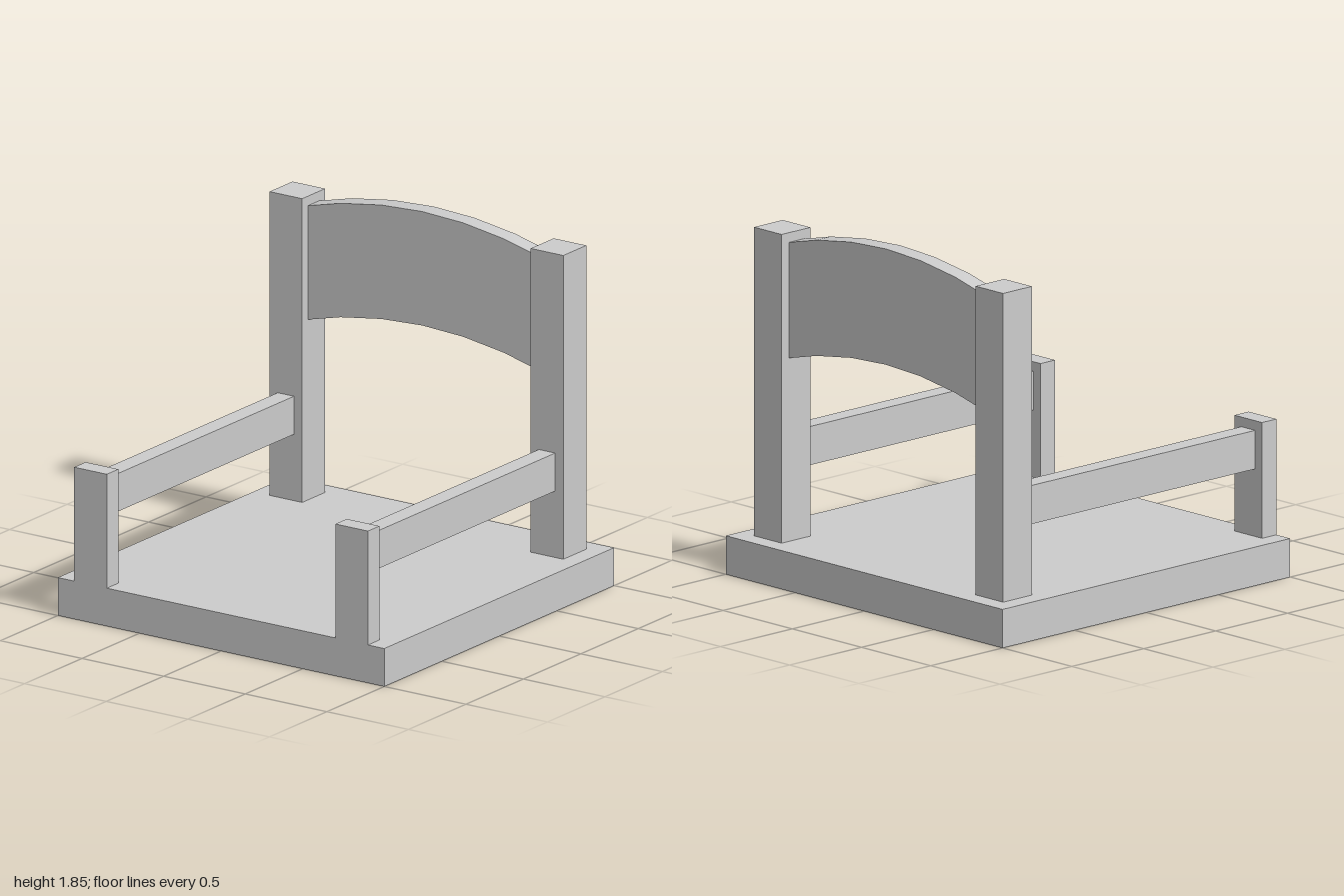
import * as THREE from 'three';
import { toCreasedNormals } from 'three/addons/utils/BufferGeometryUtils.js';

export function createModel() {
  const model = new THREE.Group();
  model.name = 'lowChair';
  const material = new THREE.MeshStandardMaterial({ color: 0xcccccc });

  const add = (name, geometry, x, y, z) => {
    const mesh = new THREE.Mesh(geometry, material);
    mesh.name = name;
    mesh.position.set(x, y, z);
    model.add(mesh);
  };
  const box = (name, w, h, d, x, y, z) => add(name, new THREE.BoxGeometry(w, h, d), x, y, z);

  // Seat slab
  box('seat', 2, 0.2, 2, 0, 0.1, 0);

  // Posts and armrests, mirrored left and right
  for (const [side, s] of [['left', 1], ['right', -1]]) {
    box(`${side}BackPost`, 0.2, 1.6, 0.2, s * 0.8, 1.0, -0.8);
    box(`${side}FrontPost`, 0.2, 0.6, 0.1, s * 0.8, 0.5, 0.95);
    box(`${side}Armrest`, 0.1, 0.2, 1.6, s * 0.8, 0.65, 0.1);
  }

  // Arched backrest panel between the back posts
  const arch = [[-0.7, 1.75], [-0.5, 1.8], [-0.25, 1.8375], [0, 1.85], [0.25, 1.8375], [0.5, 1.8], [0.7, 1.75]];
  const top = arch.map(([x, y]) => new THREE.Vector2(x, y));
  const bottom = arch.map(([x, y]) => new THREE.Vector2(x, y - 0.6));
  const panel = new THREE.ExtrudeGeometry(new THREE.Shape([...bottom, ...top.reverse()]), {
    depth: 0.1,
    bevelEnabled: false,
  });
  add('backrest', toCreasedNormals(panel, 0.5), 0, 0, -0.85);

  return model;
}
